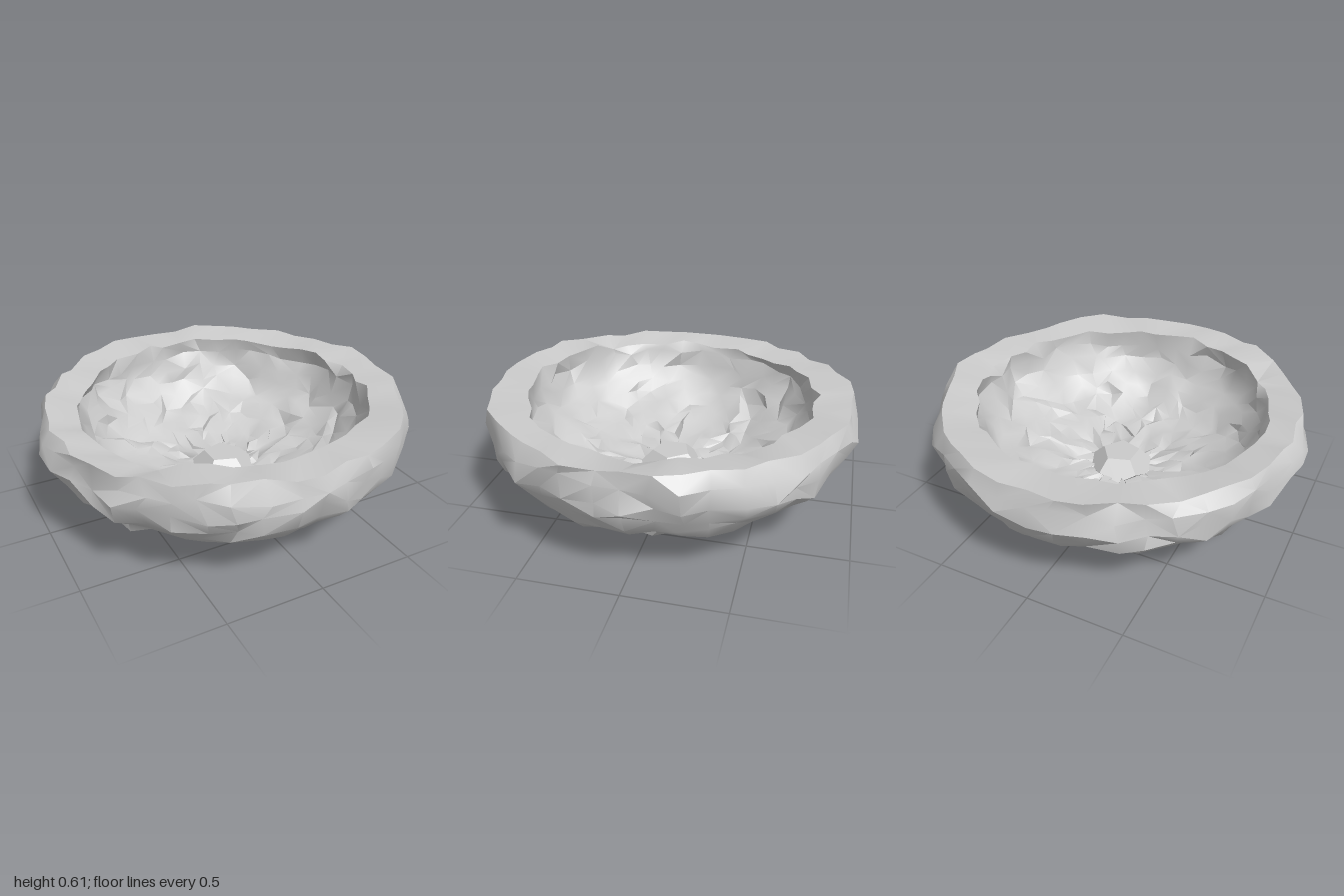
import * as THREE from 'three';
import { toCreasedNormals } from 'three/addons/utils/BufferGeometryUtils.js';

const material = new THREE.MeshStandardMaterial({ color: 0xcccccc, side: THREE.DoubleSide });

// Small seeded generator for the hewn-stone roughness
function seeded(seed) {
  let s = seed;
  return () => (s = (s * 16807) % 2147483647) / 2147483647;
}

// Revolve a profile (bottom to top outside, then down the inside) with every
// vertex nudged and the diagonal of every quad picked at random
function roughBowl(profile, segments, amount, seed) {
  const rand = seeded(seed);
  const jitter = () => (rand() - 0.5) * 2 * amount;
  const positions = [], index = [];
  profile.forEach(([r, y]) => {
    for (let i = 0; i < segments; i++) {
      const a = (i / segments) * Math.PI * 2;
      const x = r * Math.sin(a), z = r * Math.cos(a);
      // One worn stretch of the rim sits lower
      const worn = x < -0.54 && y > 0.55 ? 0.025 : 0;
      const calm = y > 0.55 ? 0.55 : 0.8;
      positions.push(x + jitter(), y - worn + jitter() * calm, z + jitter());
    }
  });
  for (let j = 0; j < profile.length - 1; j++) {
    for (let i = 0; i < segments; i++) {
      const k = (i + 1) % segments;
      const a = j * segments + i, b = j * segments + k;
      const c = a + segments, d = b + segments;
      if (rand() < 0.5) index.push(a, b, d, a, d, c);
      else index.push(a, b, c, b, d, c);
    }
  }
  const geo = new THREE.BufferGeometry();
  geo.setAttribute('position', new THREE.Float32BufferAttribute(positions, 3));
  geo.setIndex(index);
  return toCreasedNormals(geo, 0.6);
}

// Smooth curve through a few profile points, sampled evenly
function sample(points, count) {
  const curve = new THREE.SplineCurve(points.map(([r, y]) => new THREE.Vector2(r, y)));
  return curve.getSpacedPoints(count).map((v) => [v.x, v.y]);
}

function addMesh(group, name, geometry) {
  const mesh = new THREE.Mesh(geometry, material);
  mesh.name = name;
  group.add(mesh);
  return mesh;
}

export function createModel() {
  const group = new THREE.Group();
  group.name = 'roughStoneBowl';

  // Bowl shell: rounded outside, broad rim dipping inwards, hollow inside
  const outside = sample([
    [0.02, 0.04], [0.15, 0.04], [0.35, 0.06], [0.6, 0.12], [0.8, 0.21],
    [0.9, 0.295], [0.955, 0.38], [0.97, 0.46], [0.96, 0.54], [0.935, 0.6],
  ], 15);
  const inside = sample([
    [0.77, 0.58], [0.765, 0.5], [0.725, 0.4], [0.64, 0.295], [0.5, 0.205],
    [0.3, 0.145], [0.15, 0.125], [0.02, 0.12],
  ], 12);
  addMesh(group, 'bowlShell', roughBowl([...outside, ...inside], 44, 0.026, 4217));

  // Short hollow foot ring underneath
  const ring = new THREE.LatheGeometry(
    [[0.135, 0.06], [0.135, 0.004], [0.152, 0], [0.165, 0.06]].map(([r, y]) => new THREE.Vector2(r, y)), 12);
  addMesh(group, 'footRing', toCreasedNormals(ring, 0.4));

  // Faceted knob low in the middle of the floor, with a pentagon face turned upwards
  const knobGeo = new THREE.DodecahedronGeometry(0.172);
  const phi = (1 + Math.sqrt(5)) / 2;
  const faceNormal = new THREE.Vector3(0, phi, 1).normalize();
  const tilt = new THREE.Quaternion().setFromUnitVectors(faceNormal, new THREE.Vector3(0, 1, 0));
  knobGeo.applyQuaternion(tilt);
  knobGeo.scale(1, 0.6, 1);
  knobGeo.computeVertexNormals();
  const knob = addMesh(group, 'centreKnob', knobGeo);
  knob.position.y = 0.135;
  knob.rotation.y = Math.PI / 2;

  return group;
}
